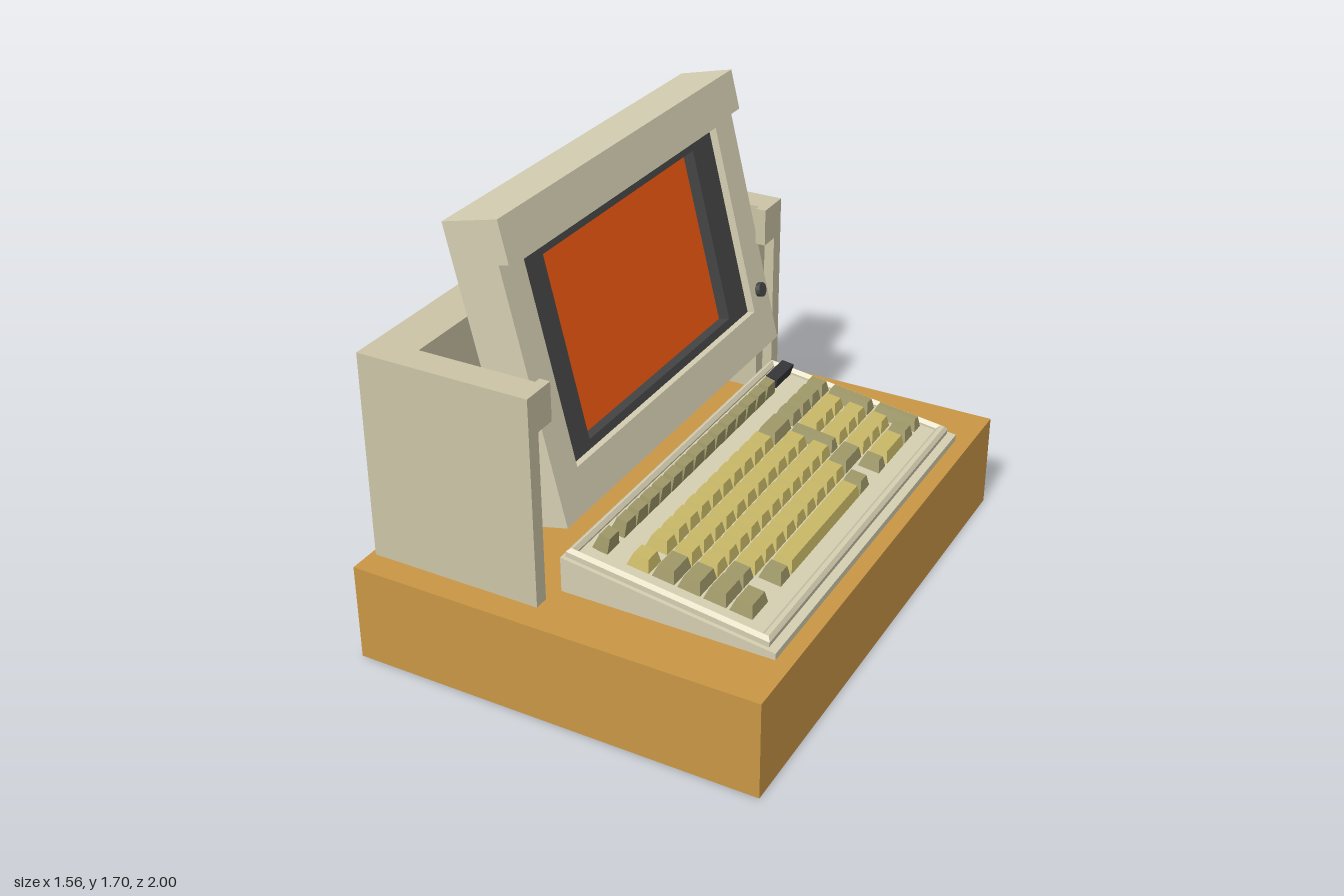
import * as THREE from 'three';

const mat = (c) => new THREE.MeshStandardMaterial({ color: c, flatShading: true });
const M = {
  wood: mat(0xc99645), shell: mat(0xcbc4a6), body: mat(0xd5ceb2), dark: mat(0x444444),
  black: mat(0x35353a), screen: mat(0xea560f), key: mat(0xc8b866), grayKey: mat(0x9f9868),
};

function add(parent, name, geo, material) {
  const mesh = new THREE.Mesh(geo, material);
  mesh.name = name;
  parent.add(mesh);
  return mesh;
}

// Box given by its extents on each axis
function box(x0, x1, y0, y1, z0, z1) {
  return new THREE.BoxGeometry(x1 - x0, y1 - y0, z1 - z0)
    .translate((x0 + x1) / 2, (y0 + y1) / 2, (z0 + z1) / 2);
}

const outline = (pts) => new THREE.Shape(pts.map(([x, y]) => new THREE.Vector2(x, y)));
const rect = (a0, a1, b0, b1) => [[a0, b0], [a1, b0], [a1, b1], [a0, b1]];

// Rectangular plate with a rectangular opening
function frameShape(outer, inner) {
  const s = outline(rect(...outer));
  s.holes.push(outline(rect(...inner)));
  return s;
}

// Keycap: a box whose top is drawn in on all four sides
function keycap(x0, x1, y0, y1, z0, z1, inset = 0.013) {
  const g = box(x0, x1, y0, y1, z0, z1);
  const p = g.attributes.position;
  const cx = (x0 + x1) / 2, cz = (z0 + z1) / 2;
  for (let i = 0; i < p.count; i++) {
    if (p.getY(i) < (y0 + y1) / 2) continue;
    p.setX(i, p.getX(i) - Math.sign(p.getX(i) - cx) * inset);
    p.setZ(i, p.getZ(i) - Math.sign(p.getZ(i) - cz) * inset);
  }
  g.computeVertexNormals();
  return g;
}

// Rear housing: U-shaped wall, open on top and towards the keyboard
function buildHousing() {
  const g = new THREE.Group();
  g.name = 'housing';
  add(g, 'backWall', box(-0.76, -0.59, 0.375, 1.165, -0.9, 0.9), M.shell);
  for (const s of [1, -1]) {
    const span = (a, b) => (s > 0 ? [a, b] : [-b, -a]);
    add(g, 'sideWall', box(-0.59, -0.14, 0.375, 1.165, ...span(0.79, 0.9)), M.shell);
    add(g, 'sideWallEdge', box(-0.14, -0.1, 0.375, 1.165, ...span(0.845, 0.9)), M.shell);
    add(g, 'hingeTab', box(-0.14, -0.1, 1.02, 1.165, ...span(0.765, 0.845)), M.shell);
  }
  return g;
}

// Tilted display; local x points out of the screen, local y up along it
function buildDisplay() {
  const g = new THREE.Group();
  g.name = 'display';
  g.position.set(-0.045, 0.635, 0);
  g.rotation.z = 0.236;
  const plate = (shape, depth, x) =>
    new THREE.ExtrudeGeometry(shape, { depth, bevelEnabled: false }).rotateY(Math.PI / 2).translate(x, 0, 0);

  add(g, 'displayBack', box(-0.177, -0.08, 0, 0.93, -0.78, 0.78), M.body);
  add(g, 'displayFront',
    plate(frameShape([-0.78, 0.78, 0, 0.93], [-0.65, 0.65, 0.16, 0.9]), 0.08, -0.08), M.body);
  add(g, 'topLip', box(-0.177, 0.039, 0.93, 1.081, -0.78, 0.78), M.body);
  add(g, 'bezel',
    plate(frameShape([-0.65, 0.65, 0.16, 0.9], [-0.51, 0.51, 0.192, 0.861]), 0.05, -0.08), M.dark);
  add(g, 'screen', box(-0.08, -0.075, 0.19, 0.863, -0.51, 0.51), M.screen);
  const knob = new THREE.CylinderGeometry(0.028, 0.028, 0.025, 20).rotateZ(-Math.PI / 2);
  add(g, 'knob', knob, M.dark).position.set(0.006, 0.226, -0.715);
  return g;
}

function buildKeyboard() {
  const g = new THREE.Group();
  g.name = 'keyboard';

  // Wedge-shaped lower shell
  const wedge = outline([[-0.08, 0.375], [0.72, 0.375], [0.72, 0.4], [-0.08, 0.51]]);
  add(g, 'keyboardShell',
    new THREE.ExtrudeGeometry(wedge, { depth: 1.56, bevelEnabled: false }).translate(0, 0, -0.78), M.body);

  // Sloping top with rim, deck and keys
  const top = new THREE.Group();
  top.name = 'keyboardTop';
  top.position.set(0, 0.499, 0);
  top.rotation.z = -0.137;
  g.add(top);
  const rim = new THREE.ExtrudeGeometry(
    frameShape([-0.07, 0.695, -0.765, 0.765], [-0.04, 0.655, -0.74, 0.74]),
    { depth: 0.02, bevelThickness: 0.014, bevelSize: 0.012, bevelOffset: -0.012, bevelSegments: 1 });
  add(top, 'keyboardRim', rim.rotateX(-Math.PI / 2), M.body);
  add(top, 'keyDeck', box(-0.045, 0.66, 0, 0.012, -0.745, 0.745), M.body);

  // Key covering columns c0..c1 between z0 and z1
  const key = (c0, c1, z0, z1, gray) =>
    add(top, 'key', keycap(0.122 + c0 * 0.097, 0.207 + c1 * 0.097, 0.012, 0.057, z0, z1),
      gray ? M.grayKey : M.key);

  // Number pad
  key(0, 0, -0.73, -0.665, true);
  key(1, 2, -0.73, -0.665, true);
  key(3, 4, -0.73, -0.675, true);
  for (let r = 0; r < 3; r++) {
    const z = -0.655 + r * 0.084;
    for (let c = 0; c < 4; c++) key(c, c, z, z + 0.077, c === 0);
  }
  key(4, 4, -0.655, -0.58, true);
  key(4, 4, -0.57, -0.41);

  // Editing and enter keys
  key(0, 0, -0.395, -0.255, true);
  key(1, 2, -0.395, -0.34, true);
  key(1, 1, -0.33, -0.255);
  key(2, 2, -0.33, -0.255);
  key(3, 3, -0.395, -0.255, true);
  key(4, 4, -0.395, -0.335, true);

  // Letter block
  for (let r = 0; r < 9; r++) {
    const z = -0.247 + r * 0.0817;
    for (let c = 0; c < 4; c++) key(c, c, z, z + 0.075);
  }
  key(4, 4, -0.247, -0.172, true);
  key(4, 4, -0.165, 0.397);
  key(4, 4, 0.407, 0.48, true);
  for (let c = 0; c < 4; c++) key(c, c, 0.49, 0.565, c === 3);
  key(0, 0, 0.605, 0.69);
  for (let c = 1; c < 4; c++) key(c, c, 0.57, 0.69, true);
  key(4, 4, 0.575, 0.69, true);

  // Rear row of command keys and indicator block
  for (let i = 0; i < 15; i++) {
    const z = i < 14 ? -0.54 + i * 0.0825 : 0.645;
    const k = add(top, 'rearKey', keycap(-0.03, 0.03, 0, 0.06, z - 0.04, z + 0.04, 0.01), M.grayKey);
    k.position.set(0.015, 0.012, 0);
    k.rotation.z = -0.12;
  }
  add(top, 'indicatorBlock', box(-0.015, 0.035, 0.01, 0.05, -0.755, -0.61), M.black);
  return g;
}

export function createModel() {
  const model = new THREE.Group();
  model.name = 'portableComputer';
  add(model, 'woodenBase', box(-0.78, 0.78, 0, 0.375, -1, 1), M.wood);
  model.add(buildHousing(), buildDisplay(), buildKeyboard());
  return model;
}
